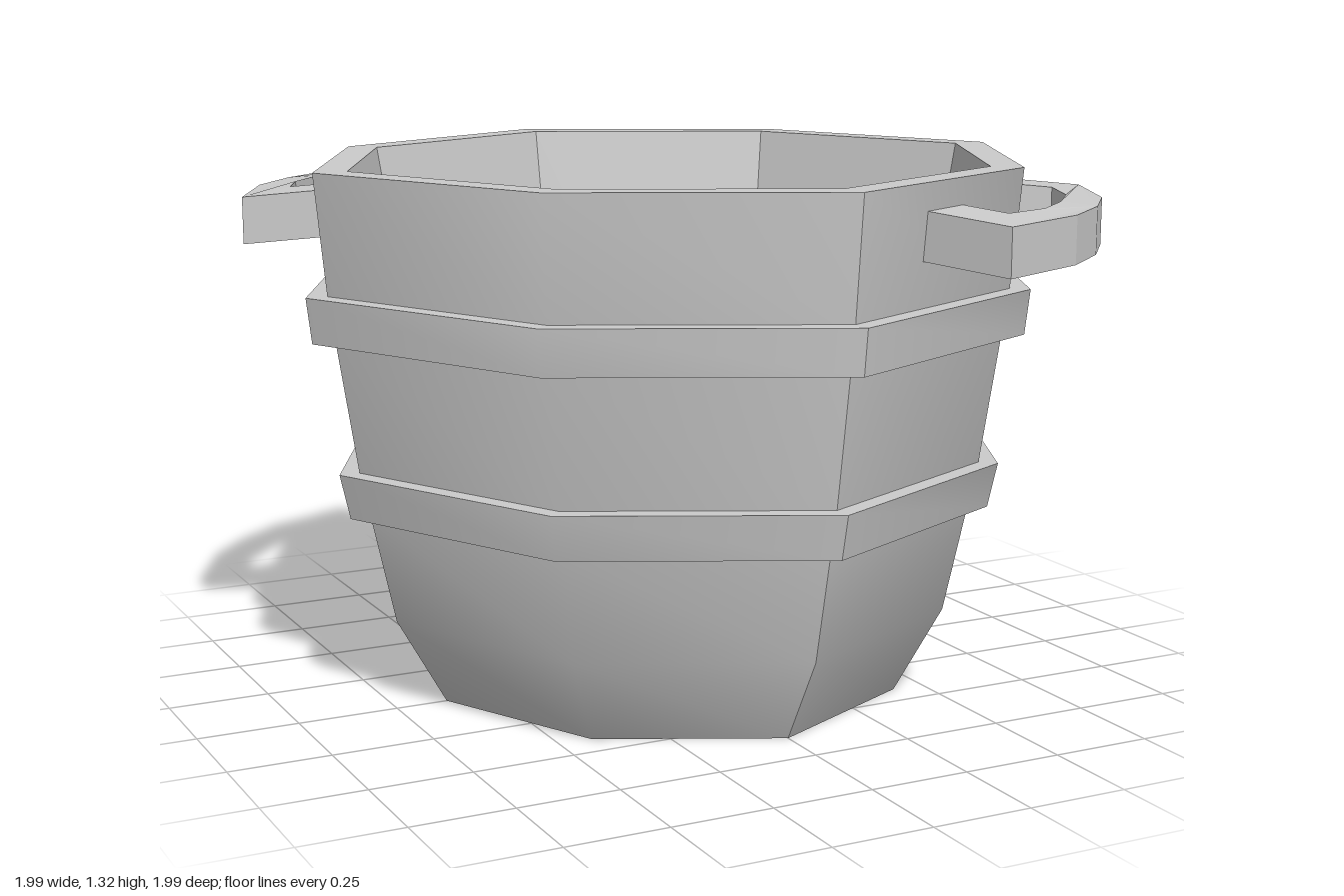
import * as THREE from 'three';
import { toCreasedNormals } from 'three/addons/utils/BufferGeometryUtils.js';

const material = new THREE.MeshStandardMaterial({ color: 0xcccccc });

// Eight-sided lathe whose diagonal corners are pulled in slightly
function octagon(profile, crease) {
  const points = profile.map(([r, y]) => new THREE.Vector2(r, y));
  const geometry = new THREE.LatheGeometry(points, 8);
  const p = geometry.attributes.position;
  for (let i = 0; i < p.count; i++) {
    const x = p.getX(i), z = p.getZ(i);
    if (Math.abs(x) > 0.01 && Math.abs(z) > 0.01) p.setXYZ(i, x * 0.953, p.getY(i), z * 0.953);
  }
  return toCreasedNormals(geometry, crease);
}

function add(parent, name, geometry) {
  const mesh = new THREE.Mesh(geometry, material);
  mesh.name = name;
  parent.add(mesh);
  return mesh;
}

// Curved grip with two legs running into the wall, dropping slightly outward
function handleGeometry() {
  const arc = (r, degrees) => degrees.map((d) => {
    const a = THREE.MathUtils.degToRad(d);
    return new THREE.Vector2(r * Math.cos(a), r * Math.sin(a));
  });
  const shape = new THREE.Shape([
    new THREE.Vector2(0.78, 0.23),
    ...arc(1.05, [18.6]), ...arc(1.057, [34.5, 45, 55.5]), ...arc(1.05, [71.4]),
    new THREE.Vector2(0.23, 0.78),
    new THREE.Vector2(0.36, 0.70),
    ...arc(0.947, [63]), ...arc(0.97, [54, 45, 36]), ...arc(0.947, [27]),
    new THREE.Vector2(0.70, 0.36),
  ]);
  const geometry = new THREE.ExtrudeGeometry(shape, { depth: 0.115, bevelEnabled: false });
  geometry.rotateX(Math.PI / 2).translate(0, 1.235, 0);
  const p = geometry.attributes.position;
  for (let i = 0; i < p.count; i++) {
    p.setY(i, p.getY(i) + 0.09 * (1.05 - Math.hypot(p.getX(i), p.getZ(i))));
  }
  geometry.computeVertexNormals();
  return geometry;
}

export function createModel() {
  const group = new THREE.Group();
  group.name = 'bucket';

  // Outer wall and base: soft along the profile, hard at the axis corners
  add(group, 'outerWall', octagon([
    [0, 0], [0.62, 0], [0.745, 0.22], [0.805, 0.49], [0.83, 0.6],
    [0.88, 0.92], [0.897, 1.03], [0.925, 1.32],
  ], 0.75));

  // Rim, inner wall and floor
  add(group, 'innerWall', octagon([[0.925, 1.32], [0.84, 1.32], [0.62, 0.12], [0, 0.12]], 0.2));

  // Hoops
  add(group, 'lowerHoop', octagon([[0.78, 0.49], [0.855, 0.49], [0.88, 0.6], [0.8, 0.6]], 0.75));
  add(group, 'upperHoop', octagon([[0.85, 0.92], [0.937, 0.92], [0.95, 1.03], [0.87, 1.03]], 0.75));

  // Handles on opposite corners
  const handle = handleGeometry();
  add(group, 'frontHandle', handle);
  add(group, 'backHandle', handle).rotation.y = Math.PI;

  return group;
}
